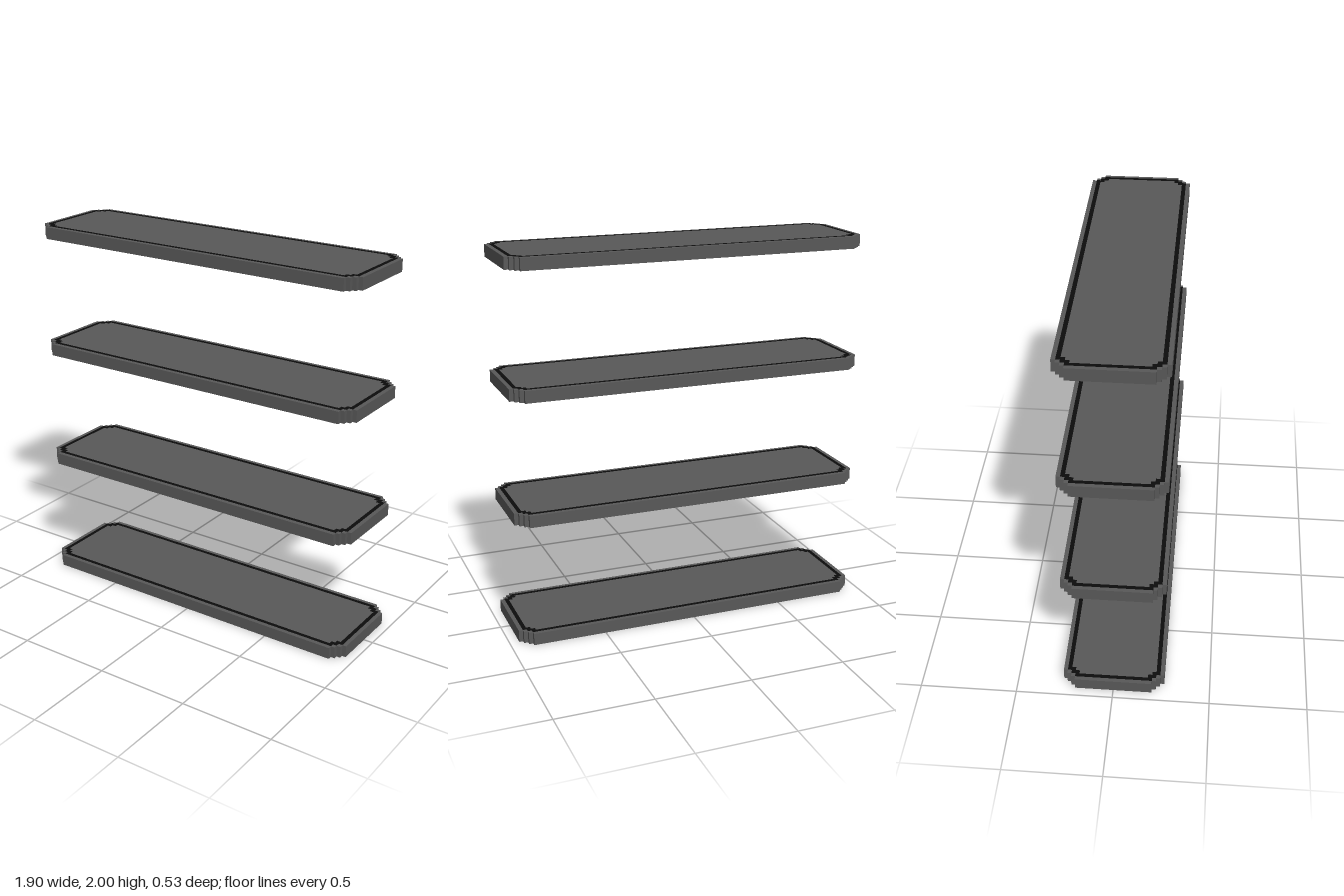
import * as THREE from 'three';

const U = 0.0211;             // width of one corner step
const HALF_X = 0.95, HALF_Z = 0.263;
const THICK = 0.063, COUNT = 4;

// Rectangle outline whose corners are cut by n small stair steps
function steppedOutline(inset, n) {
  const w = HALF_X - inset * U, d = HALF_Z - inset * U;
  const corner = [];
  for (let k = 0; k <= n; k++) {
    corner.push([w - k * U, d - (n - k) * U]);
    if (k < n) corner.push([w - (k + 1) * U, d - (n - k) * U]);
  }
  const back = [...corner].reverse();
  const points = [
    ...corner,
    ...back.map(([x, y]) => [-x, y]),
    ...corner.map(([x, y]) => [-x, -y]),
    ...back.map(([x, y]) => [x, -y]),
  ];
  return points.map(([x, y]) => new THREE.Vector2(x, y));
}

export function createModel() {
  const group = new THREE.Group();
  group.name = 'stackedShelves';
  const slabMaterial = new THREE.MeshStandardMaterial({ color: 0x585858 });
  const trimMaterial = new THREE.MeshStandardMaterial({ color: 0x0c0c0c });

  // Board with stair-stepped corners, laid flat
  const slabGeometry = new THREE.ExtrudeGeometry(
    new THREE.Shape(steppedOutline(0, 3)), { depth: THICK, bevelEnabled: false });
  slabGeometry.rotateX(-Math.PI / 2);

  // Thin dark inlay following the board's edge
  const trimShape = new THREE.Shape(steppedOutline(1, 2));
  trimShape.holes.push(new THREE.Path(steppedOutline(2, 2)));
  const trimGeometry = new THREE.ShapeGeometry(trimShape);
  trimGeometry.rotateX(-Math.PI / 2);

  // Four evenly spaced shelves
  for (let i = 0; i < COUNT; i++) {
    const shelf = new THREE.Group();
    shelf.name = `shelf${i + 1}`;
    const board = new THREE.Mesh(slabGeometry, slabMaterial);
    board.name = 'board';
    const trim = new THREE.Mesh(trimGeometry, trimMaterial);
    trim.name = 'edgeInlay';
    trim.position.y = THICK + 0.001;
    shelf.add(board, trim);
    shelf.position.y = i * (2 - THICK) / (COUNT - 1);
    group.add(shelf);
  }
  return group;
}
